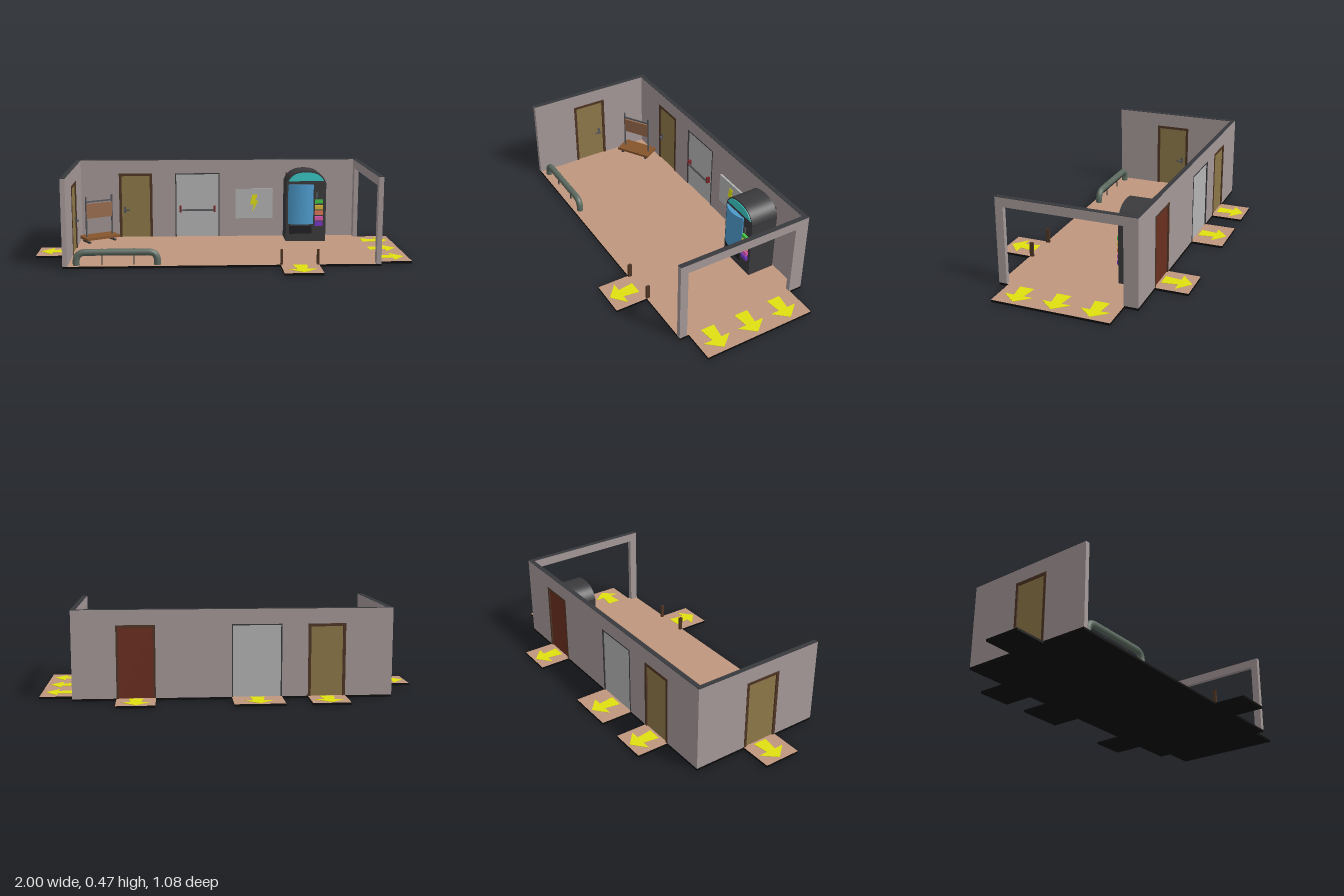
import * as THREE from 'three';

const FLOOR = 0.012, TOP = 0.47, THICK = 0.025;
const mat = (color, side = THREE.FrontSide) => new THREE.MeshStandardMaterial({ color, side });
const M = {
  wall: mat(0xa59898), cap: mat(0x38393c), floor: mat(0xbf967c), under: mat(0x0c0c0c),
  arrow: mat(0xe0e010), dark: mat(0x3a3a3c), black: mat(0x202022), metal: mat(0x55565a),
  frame: mat(0x4e3524), olive: mat(0x8c7848), red: mat(0x6a2e20), grey: mat(0xb4b4b4),
  wood: mat(0x85552c), board: mat(0x94684a), pipe: mat(0x5c6a60), blue: mat(0x4c9acb),
  cyan: mat(0x38c8c4), alarm: mat(0x7a2428)
};

function add(parent, name, geometry, material, x = 0, y = 0, z = 0) {
  const mesh = new THREE.Mesh(geometry, material);
  mesh.name = name;
  mesh.position.set(x, y, z);
  parent.add(mesh);
  return mesh;
}
const box = (p, name, w, h, d, m, x, y, z) => add(p, name, new THREE.BoxGeometry(w, h, d), m, x, y, z);
const polygon = pts => new THREE.Shape(pts.map(([x, y]) => new THREE.Vector2(x, y)));
const extrude = (shape, depth) =>
  new THREE.ExtrudeGeometry(shape, { depth, bevelEnabled: false, curveSegments: 16 });

function group(parent, name, x = 0, y = 0, z = 0, turn = 0) {
  const g = new THREE.Group();
  g.name = name;
  g.position.set(x, y, z);
  g.rotation.y = turn;
  parent.add(g);
  return g;
}

// Slab with a tan top and black sides and underside
function slab(p, name, x0, x1, z0, z1) {
  const u = M.under;
  box(p, name, x1 - x0, FLOOR, z1 - z0, [u, u, M.floor, u, u, u], (x0 + x1) / 2, FLOOR / 2, (z0 + z1) / 2);
}

// Wall from a to b with doorways [start, end, height] cut from the floor up
function wall(p, name, a, b, openings, x, z, turn) {
  const pts = [[a, FLOOR]];
  for (const [s, e, h] of openings) pts.push([s, FLOOR], [s, h], [e, h], [e, FLOOR]);
  pts.push([b, FLOOR], [b, TOP - 0.002], [a, TOP - 0.002]);
  const g = group(p, name, x, 0, z, turn);
  add(g, 'wallPanel', extrude(polygon(pts), THICK), M.wall);
  box(g, 'wallCap', b - a, 0.002, THICK, M.cap, (a + b) / 2, TOP - 0.001, THICK / 2);
}

// Door: frame on three sides and a thinner panel
function door(p, name, width, edge, frameMat, panelMat, x, z, turn = 0) {
  const h = 0.39, w = width / 2;
  const g = group(p, name, x, 0, z, turn);
  const outline = polygon([
    [-w, FLOOR], [-w + edge, FLOOR], [-w + edge, h - edge], [w - edge, h - edge],
    [w - edge, FLOOR], [w, FLOOR], [w, h], [-w, h]
  ]);
  add(g, 'doorFrame', extrude(outline, THICK + 0.004), frameMat, 0, 0, -THICK / 2 - 0.002);
  box(g, 'doorPanel', width - 2 * edge, h - edge - FLOOR, 0.016, panelMat, 0, (h - edge + FLOOR) / 2, 0);
  return g;
}

function handle(g, x, dir) {
  box(g, 'handlePlate', 0.014, 0.036, 0.006, M.metal, x, 0.175, 0.011);
  box(g, 'handleStem', 0.007, 0.007, 0.02, M.metal, x, 0.175, 0.02);
  box(g, 'handleLever', 0.032, 0.007, 0.006, M.metal, x + dir * 0.014, 0.175, 0.027);
}

// Flat arrow pointing toward -z before turning
function arrow(p, x, z, turn) {
  const pts = [[-0.038, -0.075], [0.038, -0.075], [0.026, 0.01], [0.075, 0.01],
    [0, 0.075], [-0.075, 0.01], [-0.026, 0.01]];
  const geo = extrude(polygon(pts), 0.002).rotateX(-Math.PI / 2);
  add(p, 'exitArrow', geo, M.arrow, x, FLOOR, z).rotation.y = turn;
}

function buildCart(p) {
  const g = group(p, 'cart', -0.69, 0, -0.245, 0.55);
  box(g, 'platform', 0.21, 0.014, 0.11, M.wood, 0, 0.039, 0);
  for (const s of [-1, 1]) {
    box(g, 'foot', 0.014, 0.02, 0.018, M.dark, s * 0.08, 0.022, 0);
    box(g, 'footBar', 0.014, 0.008, 0.085, M.dark, s * 0.08, 0.016, 0);
    add(g, 'upright', new THREE.CylinderGeometry(0.005, 0.005, 0.235, 10), M.metal, s * 0.082, 0.16, 0);
  }
  box(g, 'backBoard', 0.162, 0.085, 0.01, M.board, 0, 0.193, 0);
  box(g, 'topRail', 0.164, 0.008, 0.008, M.metal, 0, 0.247, 0);
}

function buildPipe(p) {
  const g = group(p, 'floorPipe', 0, 0, 0.33);
  const path = new THREE.CurvePath();
  const v = (x, y) => new THREE.Vector3(x, y, 0);
  const l = -0.758, r = -0.338, t = 0.079, b = 0.05;
  path.add(new THREE.LineCurve3(v(l, FLOOR), v(l, t - b)));
  path.add(new THREE.QuadraticBezierCurve3(v(l, t - b), v(l, t), v(l + b, t)));
  path.add(new THREE.LineCurve3(v(l + b, t), v(r - b, t)));
  path.add(new THREE.QuadraticBezierCurve3(v(r - b, t), v(r, t), v(r, t - b)));
  path.add(new THREE.LineCurve3(v(r, t - b), v(r, FLOOR)));
  add(g, 'pipe', new THREE.TubeGeometry(path, 80, 0.018, 16), M.pipe);
  for (const x of [-0.625, -0.46]) {
    add(g, 'pipeBand', new THREE.CylinderGeometry(0.0195, 0.0195, 0.006, 16).rotateZ(Math.PI / 2), M.pipe, x, t, 0);
    box(g, 'pipeSupport', 0.004, t - FLOOR, 0.006, M.dark, x, (t + FLOOR) / 2, 0);
  }
}

function buildMachine(p) {
  const g = group(p, 'vendingMachine', 0.503, 0, -0.185);
  // Cabinet with an arched top
  const body = new THREE.Shape();
  body.moveTo(-0.115, FLOOR);
  body.lineTo(0.115, FLOOR);
  body.lineTo(0.115, 0.35);
  body.bezierCurveTo(0.1, 0.4, 0.06, 0.423, 0, 0.423);
  body.bezierCurveTo(-0.06, 0.423, -0.1, 0.4, -0.115, 0.35);
  add(g, 'cabinet', extrude(body, 0.155), M.dark, 0, 0, -0.155);
  const sign = new THREE.Shape();
  sign.moveTo(-0.102, 0.364);
  sign.lineTo(0.102, 0.364);
  sign.bezierCurveTo(0.085, 0.395, 0.06, 0.414, 0, 0.414);
  sign.bezierCurveTo(-0.06, 0.414, -0.085, 0.395, -0.102, 0.364);
  add(g, 'header', extrude(sign, 0.004), M.cyan);
  // Bulging display window
  const bow = new THREE.Shape();
  bow.moveTo(-0.073, 0);
  bow.lineTo(-0.073, -0.006);
  bow.quadraticCurveTo(0, -0.048, 0.073, -0.006);
  bow.lineTo(0.073, 0);
  add(g, 'displayWindow', extrude(bow, 0.23).rotateX(-Math.PI / 2), M.blue, -0.031, 0.115, 0);
  // Coin slot, selection buttons and pick-up tray
  box(g, 'coinSlot', 0.012, 0.03, 0.008, M.metal, 0.062, 0.282, 0.003);
  [0x48c848, 0xd8b838, 0xe07858, 0xd858b0, 0x7838c8].forEach((c, i) =>
    box(g, 'selectionButton', 0.046, 0.022, 0.014, mat(c), 0.074, 0.245 - i * 0.0325, 0.006));
  box(g, 'pickupTray', 0.13, 0.045, 0.008, M.black, -0.031, 0.08, 0.003);
}

export function createModel() {
  const root = new THREE.Group();
  root.name = 'room';

  // Floor and exit pads
  slab(root, 'floor', -0.825, 0.825, -0.37, 0.365);
  for (const [a, b] of [[-0.58, -0.385], [-0.25, 0.01], [0.4, 0.6]]) {
    slab(root, 'backExitPad', a, b, -0.543, -0.37);
    arrow(root, (a + b) / 2, -0.455, 0);
  }
  slab(root, 'rightExitPad', -1, -0.825, -0.115 + 0.035, 0.12);
  arrow(root, -0.91, 0.015, Math.PI / 2);
  slab(root, 'frontExitPad', 0.3, 0.5, 0.365, 0.54);
  arrow(root, 0.4, 0.45, Math.PI);
  slab(root, 'leftExitPad', 0.825, 1, -0.3, 0.315);
  for (const z of [-0.19, 0.01, 0.21]) arrow(root, 0.905, z, -Math.PI / 2);

  // Walls
  wall(root, 'backWall', -0.825, 0.825,
    [[-0.58, -0.385, 0.39], [-0.25, 0.01, 0.39], [0.4, 0.6, 0.39]], 0, -0.37, 0);
  wall(root, 'rightWall', -0.345, 0.367, [[-0.08, 0.12, 0.39]], -0.8, 0, -Math.PI / 2);
  wall(root, 'leftArchway', -0.345, 0.367, [[-0.295, 0.325, 0.42]], 0.825, 0, -Math.PI / 2);

  // Doors
  const zd = -0.37 + THICK / 2;
  handle(door(root, 'oliveDoor', 0.195, 0.015, M.frame, M.olive, -0.4825, zd), -0.065, 1);
  handle(door(root, 'sideDoor', 0.2, 0.015, M.frame, M.olive, -0.8125, 0.02, Math.PI / 2), 0.06, -1);
  door(root, 'redDoor', 0.2, 0.012, M.frame, M.red, 0.5, zd);
  const exit = door(root, 'emergencyDoor', 0.26, 0.006, M.dark, M.grey, -0.12, zd);
  box(exit, 'pushBar', 0.2, 0.01, 0.008, M.metal, 0, 0.172, 0.026);
  for (const s of [-1, 1]) {
    box(exit, 'pushBarMount', 0.012, 0.036, 0.022, M.alarm, s * 0.1, 0.178, 0.018);
  }

  // Wall panel with a zigzag warning mark
  const panel = group(root, 'wallSign', 0.215, 0.208, -0.34);
  box(panel, 'signBoard', 0.22, 0.175, 0.012, M.grey, 0, 0, 0);
  const bolt = polygon([[-0.012, 0.055], [0.02, 0.055], [0.008, 0.02], [0.026, 0.02],
    [-0.012, -0.052], [-0.002, -0.006], [-0.024, -0.006]]);
  add(panel, 'warningMark', extrude(bolt, 0.002), M.arrow, 0, 0, 0.006);

  // Short posts beside the front exit
  for (const x of [0.305, 0.495]) box(root, 'exitPost', 0.012, 0.078, 0.02, M.frame, x, 0.051, 0.356);

  buildCart(root);
  buildPipe(root);
  buildMachine(root);
  return root;
}
